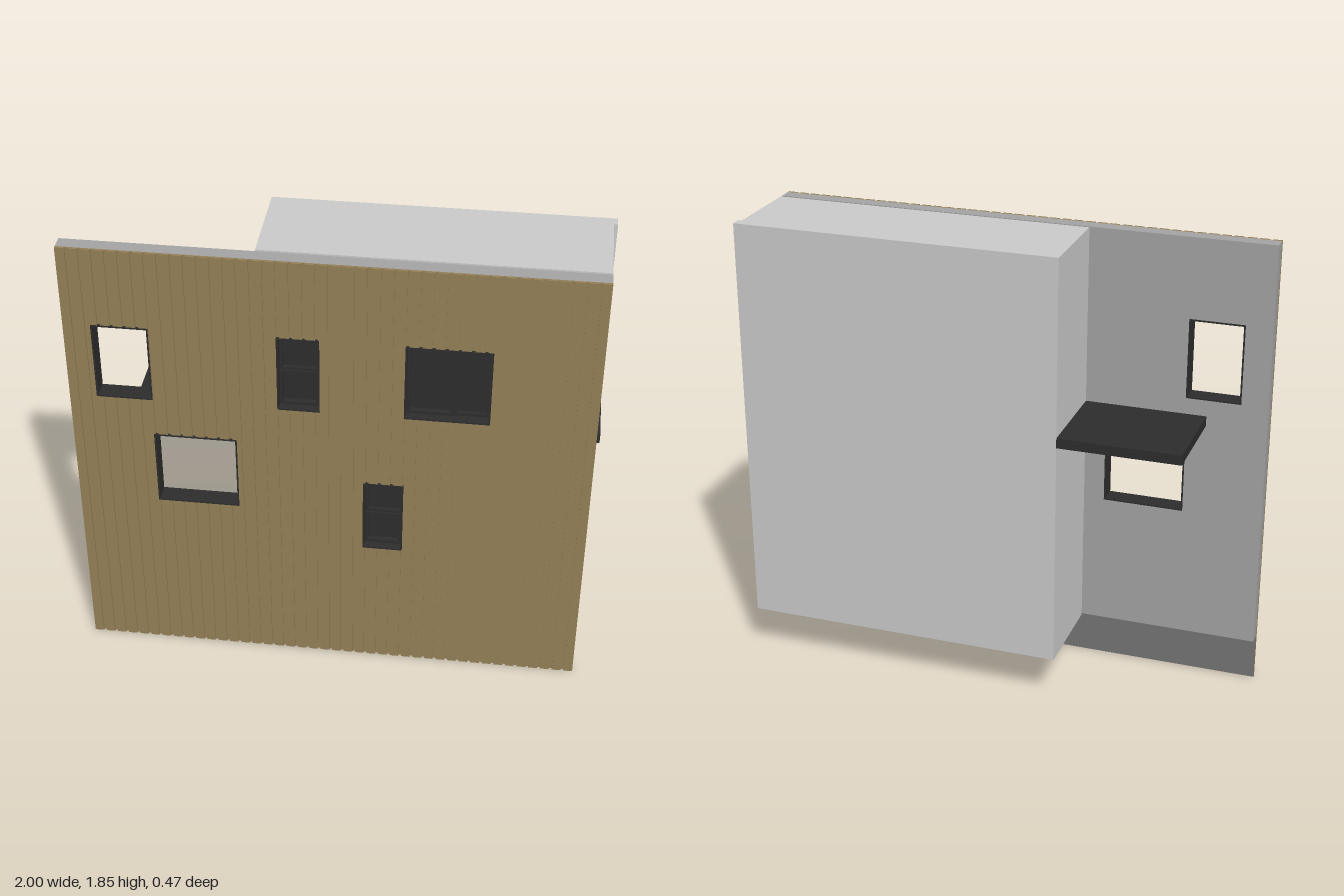
import * as THREE from 'three';

const mat = (name, color) => {
  const m = new THREE.MeshStandardMaterial({ color });
  m.name = name;
  return m;
};

export function createModel() {
  const model = new THREE.Group();
  model.name = 'facadeSection';
  const wood = mat('wood', 0x937f57);
  const wallGrey = mat('wallGrey', 0xa3a3a3);
  const roomGrey = mat('roomGrey', 0xcacaca);
  const backing = mat('backingGrey', 0x747474);
  const dark = mat('darkFrame', 0x2d2d2d);

  // box from its min and max corners
  const box = (name, material, x0, x1, y0, y1, z0, z1, parent = model) => {
    const mesh = new THREE.Mesh(new THREE.BoxGeometry(x1 - x0, y1 - y0, z1 - z0), material);
    mesh.position.set((x0 + x1) / 2, (y0 + y1) / 2, (z0 + z1) / 2);
    mesh.name = name;
    parent.add(mesh);
    return mesh;
  };

  const L = -1, R = 0.985, TOP = 1.85, BASE = 0.195;
  // split: 'none' = open, 'rows' = two panes stacked, 'columns' = side by side
  const windows = [
    { x0: -0.895, x1: -0.68, y0: 1.21, y1: 1.53, split: 'none' },
    { x0: -0.685, x1: -0.365, y0: 0.73, y1: 1.05, split: 'none' },
    { x0: -0.205, x1: -0.045, y0: 1.21, y1: 1.53, split: 'rows', at: 1.367 },
    { x0: 0.27, x1: 0.59, y0: 1.21, y1: 1.53, split: 'columns', at: 0.453 },
    { x0: 0.12, x1: 0.275, y0: 0.57, y1: 0.89, split: 'rows', at: 0.725 },
  ];

  const rectPath = (path, x0, x1, y0, y1) => {
    path.moveTo(x0, y0);
    path.lineTo(x1, y0);
    path.lineTo(x1, y1);
    path.lineTo(x0, y1);
    path.closePath();
    return path;
  };
  const sheet = (name, material, x0, x1, y0, y1, z0, z1, holes, parent = model) => {
    const shape = rectPath(new THREE.Shape(), x0, x1, y0, y1);
    holes.forEach((w) => shape.holes.push(rectPath(new THREE.Path(), w.x0, w.x1, w.y0, w.y1)));
    const geo = new THREE.ExtrudeGeometry(shape, { depth: z1 - z0, bevelEnabled: false });
    geo.translate(0, 0, z0);
    const mesh = new THREE.Mesh(geo, material);
    mesh.name = name;
    parent.add(mesh);
  };

  // structural wall and the timber sheet in front of it
  sheet('wall', wallGrey, L, R, BASE, TOP, 0.163, 0.219, windows);
  sheet('claddingSheet', wood, L, R, 0, TOP, 0.219, 0.223, windows);
  box('claddingBack', backing, L, R, 0, BASE, 0.2175, 0.219);

  // vertical battens, cut around the windows
  const battens = new THREE.Group();
  battens.name = 'battens';
  model.add(battens);
  const count = 42, pitch = (R - L) / (count - 0.25);
  for (let i = 0; i < count; i++) {
    const a = L + i * pitch, b = a + pitch * 0.75;
    const cuts = windows.flatMap((w) => [w.x0, w.x1]).filter((x) => x > a && x < b);
    const xs = [a, ...cuts, b].sort((p, q) => p - q);
    for (let k = 0; k < xs.length - 1; k++) {
      const mid = (xs[k] + xs[k + 1]) / 2;
      const hits = windows.filter((w) => mid > w.x0 && mid < w.x1).sort((p, q) => p.y0 - q.y0);
      let y = 0;
      for (const w of hits) {
        box('batten', wood, xs[k], xs[k + 1], y, w.y0, 0.223, 0.231, battens);
        y = w.y1;
      }
      box('batten', wood, xs[k], xs[k + 1], y, TOP, 0.223, 0.231, battens);
    }
  }

  // window linings, casements and panes
  const inset = (w, d) => ({ x0: w.x0 + d, x1: w.x1 - d, y0: w.y0 + d, y1: w.y1 - d });
  windows.forEach((w) => {
    const group = new THREE.Group();
    group.name = 'window';
    model.add(group);
    sheet('lining', dark, w.x0, w.x1, w.y0, w.y1, 0.16, 0.233, [inset(w, 0.006)], group);
    if (w.split === 'none') return;
    const inner = inset(w, 0.006);
    const parts = w.split === 'rows'
      ? [{ ...inner, y1: w.at }, { ...inner, y0: w.at }]
      : [{ ...inner, x1: w.at }, { ...inner, x0: w.at }];
    parts.forEach((p, i) => {
      // one casement sits slightly proud of the other
      const front = i === 0 ? 0.2 : 0.193;
      const hole = inset(p, 0.012);
      sheet('casement', dark, p.x0, p.x1, p.y0, p.y1, 0.164, front, [hole], group);
      box('pane', dark, hole.x0, hole.x1, hole.y0, hole.y1, 0.17, 0.178, group);
    });
  });

  // room volume behind the wall, its rear wall reaching a little further
  box('room', roomGrey, -0.285, R, BASE, TOP, -0.19, 0.153);
  box('rearWall', roomGrey, -0.285, 1, BASE, TOP, -0.233, -0.19);

  // floor slab, running out at both ends
  box('balconySlab', dark, -0.765, -0.285, 1.108, 1.148, -0.233, 0.153);
  box('slabEnd', dark, R, 1, 1.108, 1.148, -0.19, 0.153);

  return model;
}
